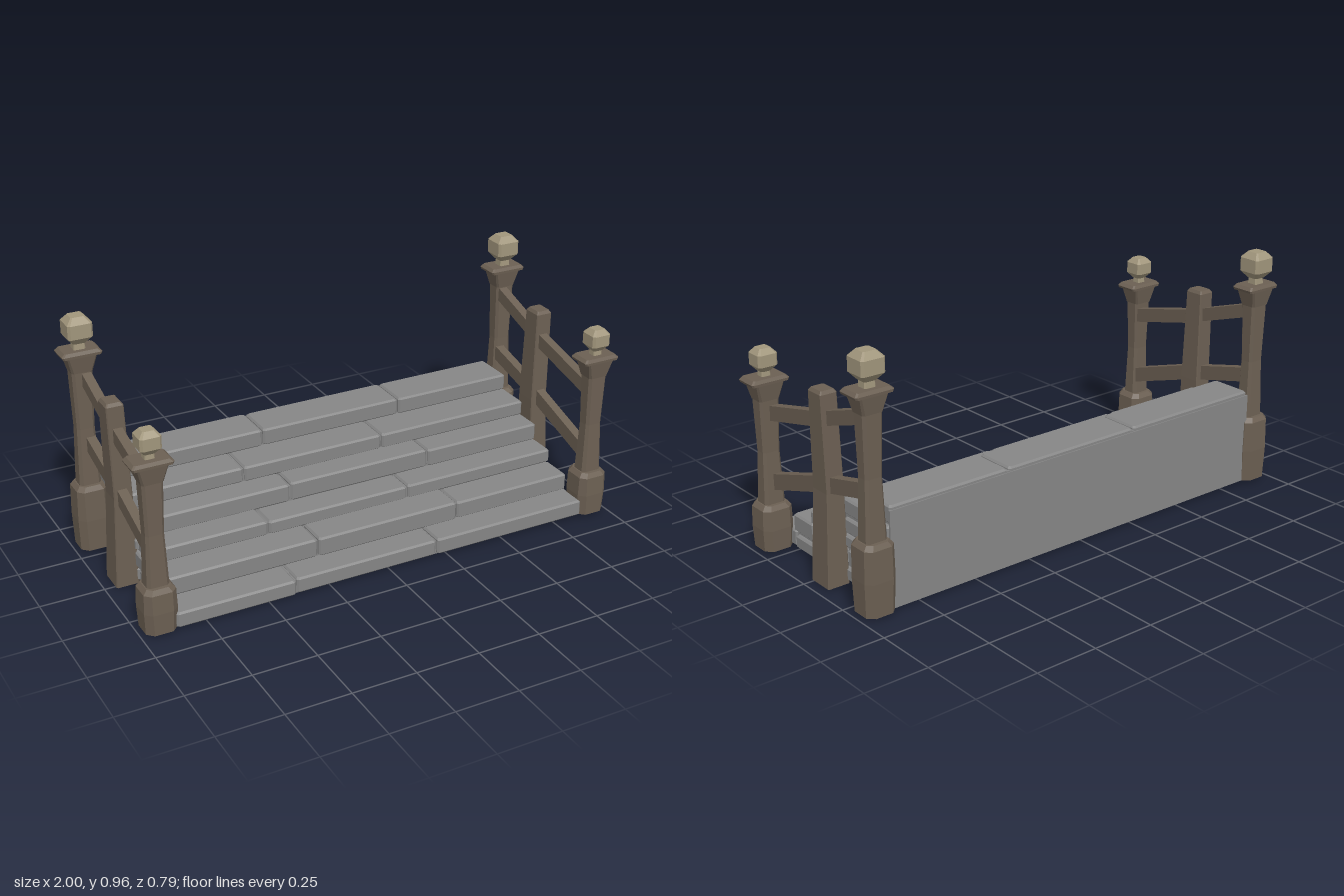
import * as THREE from 'three';

const mat = (name, color) => {
  const m = new THREE.MeshStandardMaterial({ color });
  m.name = name;
  return m;
};

// Flat-shaded solid through chamfered rectangles: [y, halfX, halfZ, chamfer, offsetX, offsetZ]
function loft(sections) {
  const rings = sections.map(([y, hx, hz, c, ox = 0, oz = 0]) =>
    [[hx, hz - c], [hx - c, hz], [c - hx, hz], [-hx, hz - c], [-hx, c - hz], [c - hx, -hz], [hx - c, -hz], [hx, c - hz]]
      .map(([x, z]) => [x + ox, y, z + oz]));
  const pos = [];
  const tri = (...p) => p.forEach(v => pos.push(...v));
  for (let i = 0; i < rings.length - 1; i++) {
    for (let j = 0; j < 8; j++) {
      const k = (j + 1) % 8, a = rings[i], b = rings[i + 1];
      tri(a[j], b[j], b[k]);
      tri(a[j], b[k], a[k]);
    }
  }
  const lo = rings[0], hi = rings[rings.length - 1];
  for (let j = 1; j < 7; j++) {
    tri(lo[0], lo[j], lo[j + 1]);
    tri(hi[0], hi[j + 1], hi[j]);
  }
  const g = new THREE.BufferGeometry();
  g.setAttribute('position', new THREE.Float32BufferAttribute(pos, 3));
  g.computeVertexNormals();
  return g;
}

export function createModel() {
  const stone = mat('stone grey', 0x868686);
  const wood = mat('weathered wood', 0x6c6053);
  const tan = mat('tan finial', 0xa1967c);
  const model = new THREE.Group();
  model.name = 'stoneStaircase';

  let seed = 7;
  const jitter = a => {
    seed = (seed * 16807) % 2147483647;
    return (seed / 2147483647 * 2 - 1) * a;
  };
  const add = (parent, name, geometry, material, x = 0, y = 0, z = 0) => {
    const m = new THREE.Mesh(geometry, material);
    m.name = name;
    m.position.set(x, y, z);
    parent.add(m);
    return m;
  };

  // Steps from the bottom: front edge and top height
  const fronts = [0.38, 0.27, 0.152, 0.045, -0.06, -0.197];
  const tops = [0.075, 0.146, 0.2, 0.27, 0.33, 0.395];
  const back = -0.365, bottom = 0.01, half = 0.872;
  const stairs = new THREE.Group();
  stairs.name = 'stairs';
  model.add(stairs);

  // Solid core, slightly inside the stones
  const outline = [[back, bottom], [fronts[0] - 0.012, bottom]];
  fronts.forEach((f, i) => {
    outline.push([f - 0.012, tops[i] - 0.01]);
    outline.push([i < 5 ? fronts[i + 1] - 0.012 : back, tops[i] - 0.01]);
  });
  const profile = new THREE.Shape(outline.map(([z, y]) => new THREE.Vector2(-z, y)));
  const core = new THREE.ExtrudeGeometry(profile, { depth: 1.72, bevelEnabled: false });
  core.rotateY(Math.PI / 2);
  add(stairs, 'core', core, stone, -0.86);
  add(stairs, 'backWall', new THREE.BoxGeometry(1.744, 0.37, 0.008), stone, 0, 0.195, back);

  // One bevelled stone block filling the given box
  const block = (name, x0, x1, y0, y1, z0, z1) => {
    const hx = (x1 - x0) / 2, hz = (z1 - z0) / 2, b = 0.007;
    add(stairs, name, loft([
      [y0, hx - b, hz - b, b],
      [y0 + b, hx, hz, b],
      [y1 - b, hx, hz, b],
      [y1, hx - b, hz - b, b],
    ]), stone, (x0 + x1) / 2, 0, (z0 + z1) / 2);
  };

  fronts.forEach((f, i) => {
    const y0 = i ? tops[i - 1] - 0.003 : bottom, y1 = tops[i];
    // Tread stones with staggered joints
    const joints = i % 2 ? [-half, -0.25, 0.355, half] : [-half, -0.395, 0.203, half];
    const tail = i < 5 ? fronts[i + 1] - 0.015 : back;
    for (let j = 0; j < 3; j++) {
      block('treadStone', joints[j] + 0.003, joints[j + 1] - 0.003,
        y0, y1 + jitter(0.003), tail, f + jitter(0.005));
    }
    // Side stones behind each tread
    const seams = [tail, ...(i % 2 ? [-0.09] : [0.025, -0.215]).filter(s => s < tail - 0.05), back];
    for (let j = 0; i < 5 && j < seams.length - 1; j++) {
      for (const s of [-1, 1]) {
        const outer = half + jitter(0.005);
        block('sideStone', s > 0 ? 0.8 : -outer, s > 0 ? outer : -0.8,
          y0, y1 - 0.012 + jitter(0.003), seams[j + 1] + 0.003, seams[j] - 0.003);
      }
    }
  });

  // Corner post; baseTop and capBottom set its height
  const cornerPost = (name, z, baseTop, capBottom, k) => {
    const g = new THREE.Group();
    g.name = name;
    g.position.set(0.922, 0, z);
    add(g, 'postBase', loft([
      [0.01, 0.06, 0.06, 0.025], [baseTop * 0.5, 0.064, 0.064, 0.025],
      [baseTop - 0.018, 0.061, 0.061, 0.022], [baseTop, 0.047, 0.05, 0.018],
    ]), wood);
    const mid = (baseTop + capBottom) / 2;
    add(g, 'postShaft', loft([
      [baseTop - 0.01, 0.043, 0.036, 0.012], [mid, 0.035, 0.029, 0.01], [capBottom, 0.04, 0.034, 0.01],
    ]), wood);
    add(g, 'postCapital', loft([
      [capBottom, 0.041, 0.035, 0.008], [capBottom + 0.068, 0.058, 0.047, 0.006],
    ]), wood);
    add(g, 'postSlab', loft([
      [capBottom + 0.066, 0.074, 0.049, 0.006], [capBottom + 0.076, 0.078, 0.05, 0.006],
      [capBottom + 0.088, 0.066, 0.043, 0.006],
    ]), wood);
    // Faceted finial on a short neck
    const y = capBottom + 0.085;
    add(g, 'finialNeck', loft([[y, 0.019 * k, 0.019 * k, 0.004], [y + 0.03 * k, 0.017 * k, 0.017 * k, 0.004]]), tan);
    add(g, 'finial', loft([
      [y + 0.022 * k, 0.02 * k, 0.02 * k, 0.005], [y + 0.045 * k, 0.04 * k, 0.04 * k, 0.009],
      [y + 0.09 * k, 0.04 * k, 0.04 * k, 0.009], [y + 0.11 * k, 0.022 * k, 0.022 * k, 0.005],
    ]), tan);
    return g;
  };

  // Straight beam between two [z, y] points
  const rail = (parent, name, [z0, y0], [z1, y1], height) => {
    const len = Math.hypot(z1 - z0, y1 - y0);
    const m = add(parent, name, new THREE.BoxGeometry(0.036, height, len), wood, 0.908, (y0 + y1) / 2, (z0 + z1) / 2);
    m.rotation.x = Math.atan2(y1 - y0, z0 - z1);
  };

  // Balustrade on each side, turned about x for the right
  for (const side of ['left', 'right']) {
    const s = side === 'left' ? 1 : -1;
    const g = new THREE.Group();
    g.name = side + 'Balustrade';
    g.add(cornerPost('frontPost', 0.331, 0.19, 0.595, 1));
    g.add(cornerPost('backPost', -0.333, 0.28, 0.743, 1.2));
    add(g, 'middlePost', loft([
      [0, 0.045, 0.056, 0.004, 0, 0.001], [0.36, 0.036, 0.047, 0.004, -0.008],
      [0.728, 0.034, 0.041, 0.004], [0.74, 0.026, 0.033, 0.004],
    ]), wood, 0.912, 0, -0.041);
    rail(g, 'upperRail', [0.32, 0.54], [-0.04, 0.625], 0.056);
    rail(g, 'upperRail', [-0.03, 0.625], [-0.33, 0.722], 0.052);
    rail(g, 'lowerRail', [0.32, 0.268], [-0.04, 0.382], 0.06);
    rail(g, 'lowerRail', [-0.03, 0.378], [-0.33, 0.452], 0.058);
    // Mirror by flipping x in the vertices and restoring the winding
    if (s < 0) {
      g.traverse(o => {
        o.position.x *= -1;
        if (!o.isMesh) return;
        const geo = o.geometry.index ? o.geometry.toNonIndexed() : o.geometry;
        const p = geo.attributes.position;
        const v = p.array.slice();
        for (let i = 0; i < p.count; i += 3) {
          [0, 2, 1].forEach((from, to) => {
            const q = (i + from) * 3;
            p.setXYZ(i + to, -v[q], v[q + 1], v[q + 2]);
          });
        }
        geo.computeVertexNormals();
        o.geometry = geo;
      });
    }
    model.add(g);
  }
  return model;
}
